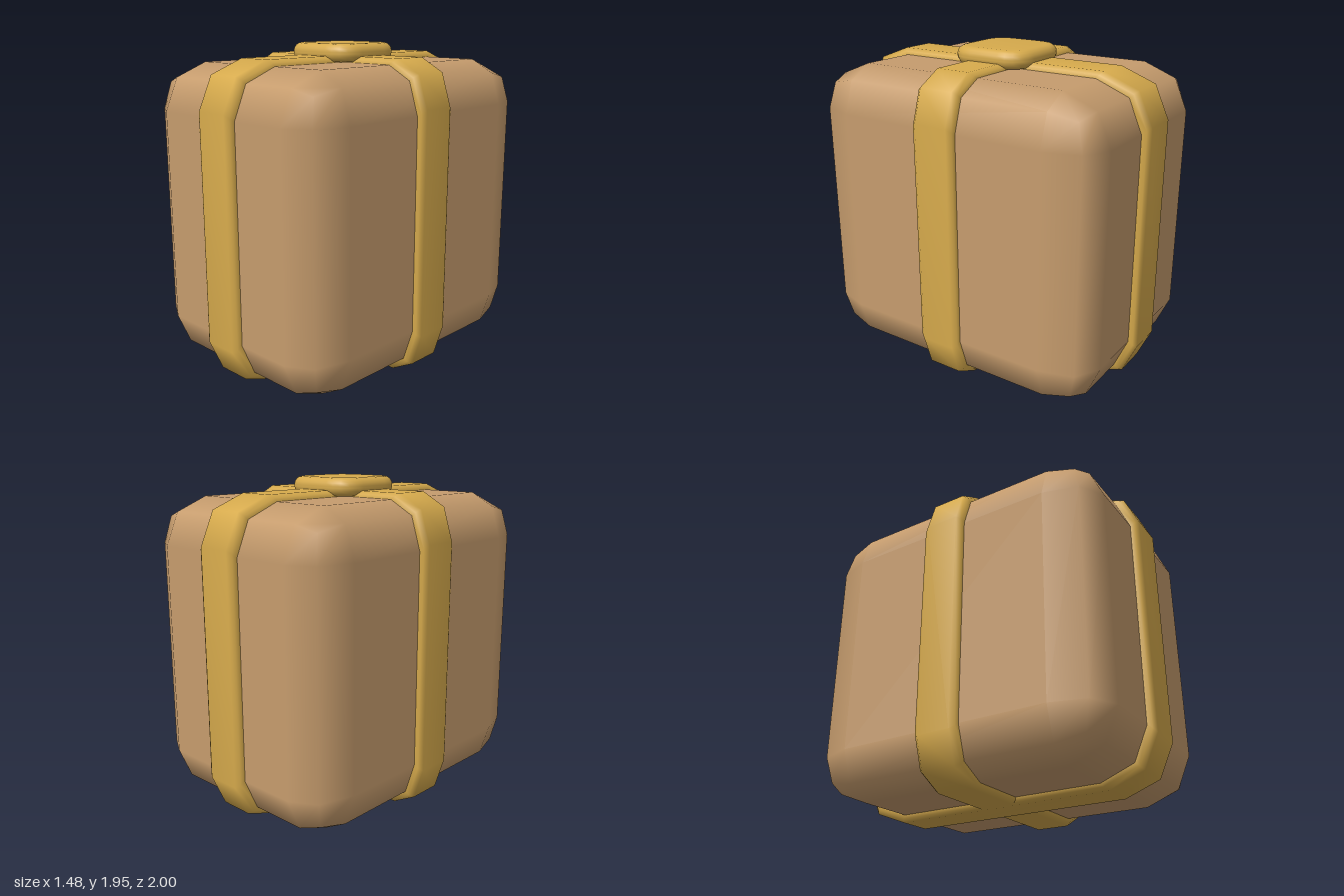
import * as THREE from 'three';
import { toCreasedNormals } from 'three/addons/utils/BufferGeometryUtils.js';
import { RoundedBoxGeometry } from 'three/addons/geometries/RoundedBoxGeometry.js';

const MID_Y = 0.9375;

// Closed ribbon loop in the XY plane, swept round a rectangle with chamfered corners.
function strapGeometry(halfX, halfY, cornerX, cornerY) {
  // cross-section: [sideways offset, inset below the outer surface]
  const section = [[-0.135, 0.09], [-0.14, 0.045], [-0.133, 0.018], [-0.105, 0],
    [0.105, 0], [0.133, 0.018], [0.14, 0.045], [0.135, 0.09]];
  const positions = [], index = [];
  const n = section.length, rings = 12;
  for (let i = 0; i < rings; i++) {
    const quarter = Math.floor(i / 3);
    const a = quarter * Math.PI / 2 + (i % 3) * Math.PI / 4;
    const sx = quarter === 0 || quarter === 3 ? 1 : -1;
    const sy = quarter < 2 ? 1 : -1;
    for (const [w, inset] of section) {
      positions.push(
        sx * (halfX - inset - cornerX) + Math.cos(a) * cornerX,
        sy * (halfY - inset - cornerY) + Math.sin(a) * cornerY,
        w);
    }
    const next = ((i + 1) % rings) * n;
    for (let j = 0; j < n - 1; j++) {
      const p = i * n + j, q = next + j;
      index.push(p, q, q + 1, p, q + 1, p + 1);
    }
  }
  const geo = new THREE.BufferGeometry();
  geo.setAttribute('position', new THREE.Float32BufferAttribute(positions, 3));
  geo.setIndex(index);
  geo.computeVertexNormals();
  return geo;
}

// Flat cushion with rounded corners and rounded rim, centred at the origin.
function knotGeometry(half, height) {
  const bevel = 0.05, h = half - bevel, r = 0.11;
  const shape = new THREE.Shape();
  shape.moveTo(h, -h + r);
  shape.lineTo(h, h - r);
  shape.quadraticCurveTo(h, h, h - r, h);
  shape.lineTo(-h + r, h);
  shape.quadraticCurveTo(-h, h, -h, h - r);
  shape.lineTo(-h, -h + r);
  shape.quadraticCurveTo(-h, -h, -h + r, -h);
  shape.lineTo(h - r, -h);
  shape.quadraticCurveTo(h, -h, h, -h + r);
  const geo = new THREE.ExtrudeGeometry(shape, {
    depth: height - 2 * bevel, bevelSize: bevel, bevelThickness: bevel,
    bevelSegments: 4, curveSegments: 5,
  });
  geo.center();
  geo.rotateX(-Math.PI / 2);
  return toCreasedNormals(geo, 1.2);
}

export function createModel() {
  const group = new THREE.Group();
  const paper = new THREE.MeshStandardMaterial({ color: 0xc69c6d });
  paper.name = 'tan wrapping';
  const gold = new THREE.MeshStandardMaterial({ color: 0xd6aa4c });
  gold.name = 'gold ribbon';

  const add = (name, geo, mat, y) => {
    const mesh = new THREE.Mesh(geo, mat);
    mesh.name = name;
    mesh.position.y = y;
    group.add(mesh);
    return mesh;
  };

  // Soft-cornered parcel
  const body = new RoundedBoxGeometry(2, 2, 2, 1, 0.3);
  body.scale(0.7, 0.9, 0.955);
  add('parcel', body, paper, MID_Y);

  // Crossing ribbons
  add('sideRibbon', strapGeometry(0.74, 0.935, 0.21, 0.27), gold, MID_Y);
  add('lengthRibbon', strapGeometry(1.0, 0.9375, 0.3, 0.27), gold, MID_Y)
    .rotation.y = Math.PI / 2;

  // Flat knot on top
  add('knot', knotGeometry(0.253, 0.108), gold, 1.893);

  return group;
}
